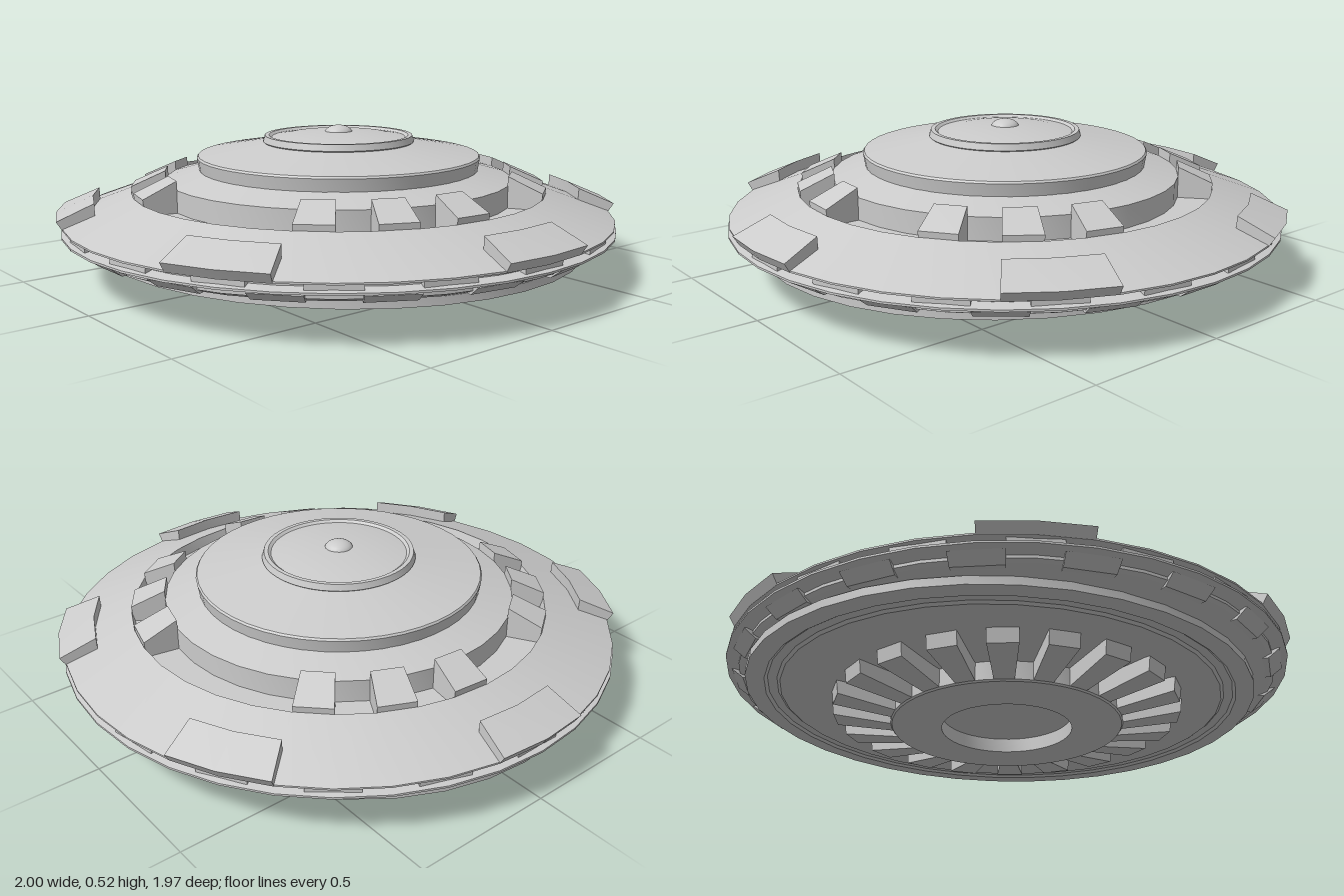
import * as THREE from 'three';
import { toCreasedNormals } from 'three/addons/utils/BufferGeometryUtils.js';

const DEG = Math.PI / 180;
const material = new THREE.MeshStandardMaterial({ color: 0xcccccc, side: THREE.DoubleSide });

function part(name, geometry, parent) {
  const mesh = new THREE.Mesh(geometry, material);
  mesh.name = name;
  parent.add(mesh);
  return mesh;
}

// Revolved body, profile given from bottom to top as [radius, height]
function revolve(name, profile, parent, sides = 36) {
  const points = profile.map(([r, y]) => new THREE.Vector2(r, y));
  return part(name, toCreasedNormals(new THREE.LatheGeometry(points, sides), 0.25), parent);
}

// Capped sector of a ring: a counterclockwise [radius, height] outline swept around y
function sector(outline, centre, width, steps = 1) {
  const n = outline.length;
  const positions = [];
  const index = [];
  for (let s = 0; s <= steps; s++) {
    const a = (centre - width / 2 + (width * s) / steps) * DEG;
    for (const [r, y] of outline) positions.push(r * Math.sin(a), y, r * Math.cos(a));
  }
  for (let s = 0; s < steps; s++) {
    for (let i = 0; i < n; i++) {
      const a = s * n + i, b = s * n + ((i + 1) % n);
      index.push(a, a + n, b, b, a + n, b + n);
    }
  }
  const end = steps * n;
  for (let i = 1; i < n - 1; i++) {
    index.push(0, i, i + 1);
    index.push(end, end + i + 1, end + i);
  }
  const geometry = new THREE.BufferGeometry();
  geometry.setAttribute('position', new THREE.Float32BufferAttribute(positions, 3));
  geometry.setIndex(index);
  return toCreasedNormals(geometry, 0.25);
}

function sectors(groupName, name, outline, angles, width, steps, parent) {
  const group = new THREE.Group();
  group.name = groupName;
  for (const angle of angles) part(name, sector(outline, angle, width, steps), group);
  parent.add(group);
}

const evenly = (count, offset = 0) =>
  Array.from({ length: count }, (_, i) => offset + (i * 360) / count);

export function createModel() {
  const model = new THREE.Group();
  model.name = 'saucer';

  // Main hull: tapered lower rim, edge groove, sloped deck and the open ring trench
  revolve('hull', [
    [0.82, 0.115], [0.9, 0.128], [0.94, 0.145], [0.94, 0.155], [0.985, 0.168], [0.985, 0.175],
    [0.945, 0.183], [0.945, 0.19], [0.98, 0.197], [0.98, 0.203],
    [0.74, 0.292], [0.73, 0.255], [0.62, 0.255], [0.62, 0.332], [0.5, 0.365],
  ], model);

  // Raised upper deck and the dished cap on it
  revolve('upperDeck', [[0.5, 0.36], [0.508, 0.408], [0.503, 0.415], [0.26, 0.457]], model, 48);
  revolve('cap', [
    [0.262, 0.452], [0.272, 0.46], [0.265, 0.482], [0.25, 0.482], [0.24, 0.474], [0.18, 0.484], [0, 0.497],
  ], model, 48);
  const beacon = part('beacon', new THREE.SphereGeometry(0.05, 20, 8, 0, Math.PI * 2, 0, Math.PI / 2), model);
  beacon.scale.y = 0.56;
  beacon.position.y = 0.488;

  // Blocks bridging the trench, in four groups of three
  sectors('trenchBlocks', 'trenchBlock',
    [[0.615, 0.255], [0.735, 0.255], [0.74, 0.312], [0.62, 0.365]],
    [45, 65, 85, 125, 145, 165, 225, 245, 265, 305, 325, 345], 10, 1, model);

  // Six large plates overhanging the edge
  sectors('rimPlates', 'rimPlate',
    [[0.87, 0.235], [0.98, 0.198], [1.0, 0.23], [0.872, 0.285]],
    evenly(6, 30), 20, 2, model);

  // Two staggered rows of small panels round the rim
  sectors('upperRimPanels', 'rimPanel',
    [[0.93, 0.178], [0.968, 0.178], [0.968, 0.195], [0.93, 0.195]], evenly(18, 10), 10, 1, model);
  sectors('lowerRimPanels', 'rimPanel',
    [[0.89, 0.13], [0.925, 0.13], [0.965, 0.16], [0.93, 0.165]], evenly(18), 10, 1, model);

  // Slightly oval plate under the hull
  const belly = revolve('bellyPlate', [
    [0, 0.075], [0.41, 0.075], [0.6, 0.092], [0.74, 0.092], [0.75, 0.1], [0.78, 0.1],
    [0.79, 0.092], [0.85, 0.095], [0.85, 0.123], [0.78, 0.123],
  ], model);
  belly.scale.x = 1.068;
  belly.position.x = -0.016;

  // Radial fins round the central hub
  sectors('bellyFins', 'bellyFin',
    [[0.36, 0.012], [0.41, 0.012], [0.612, 0.042], [0.62, 0.1], [0.36, 0.1]], evenly(20), 9.5, 1, model);

  // Hub with a recessed centre
  revolve('hub', [
    [0, 0.05], [0.23, 0.05], [0.23, 0], [0.405, 0.006], [0.41, 0.012], [0.41, 0.085],
  ], model, 48);

  return model;
}
